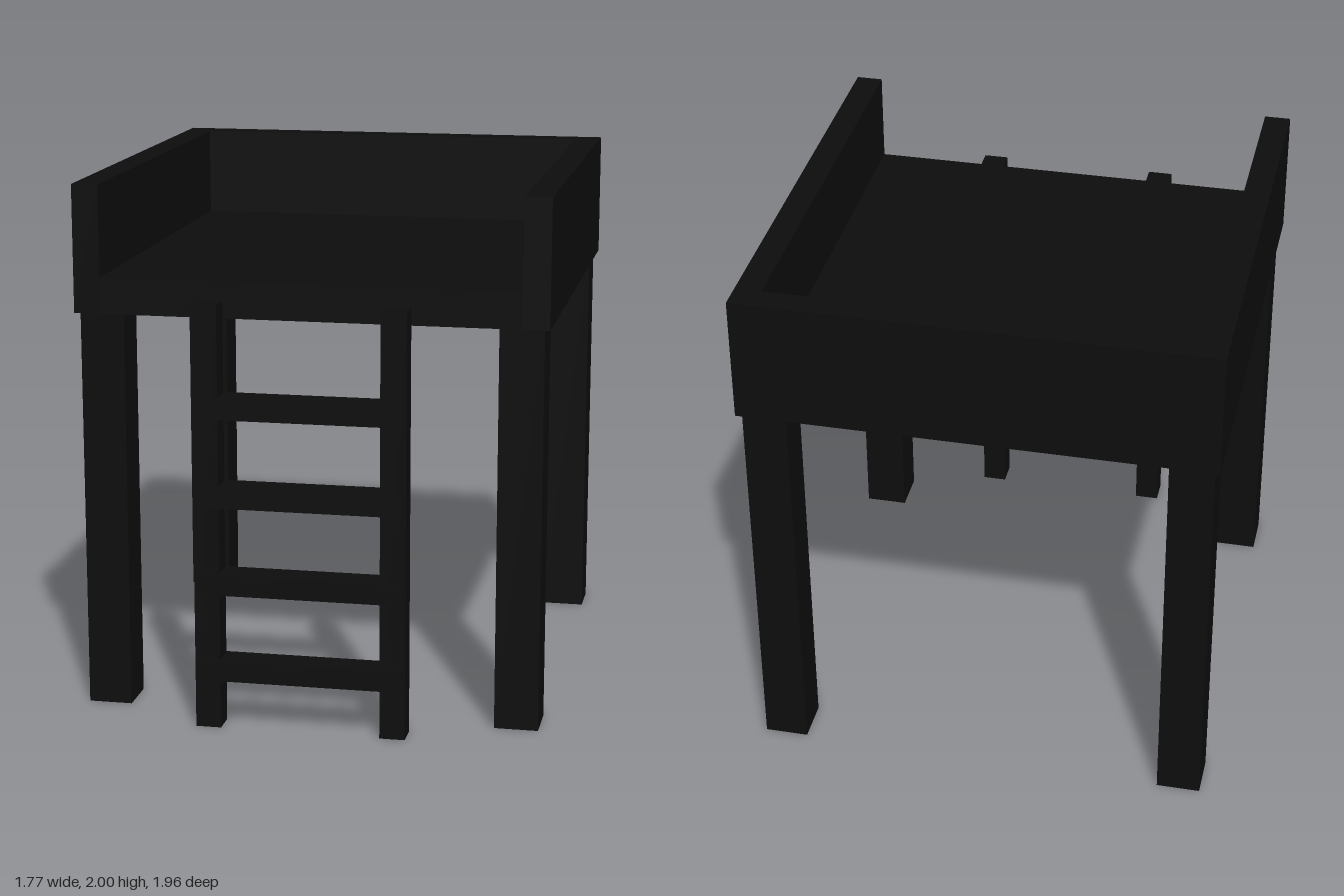
import * as THREE from 'three';

const material = new THREE.MeshStandardMaterial({ color: 0x0d0d0d });

// Box given by its lower and upper extent on each axis
function box(name, [x0, x1], [y0, y1], [z0, z1]) {
  const mesh = new THREE.Mesh(new THREE.BoxGeometry(x1 - x0, y1 - y0, z1 - z0), material);
  mesh.position.set((x0 + x1) / 2, (y0 + y1) / 2, (z0 + z1) / 2);
  mesh.name = name;
  return mesh;
}

// Span from a to b on the +x side (1) or mirrored to the -x side (-1)
const mirrored = (side, a, b) => (side > 0 ? [a, b] : [-b, -a]);

export function createModel() {
  const model = new THREE.Group();
  model.name = 'loftBed';

  // Platform, open towards the ladder
  const platform = new THREE.Group();
  platform.name = 'platform';
  platform.add(
    box('floor', [-0.785, 0.785], [1.52, 1.655], [-0.88, 0.795]),
    box('backWall', [-0.785, 0.785], [1.52, 2], [-0.98, -0.88])
  );

  // Ladder standing just in front of the platform
  const ladder = new THREE.Group();
  ladder.name = 'ladder';

  for (const side of [1, -1]) {
    const label = side > 0 ? 'left' : 'right';
    platform.add(box(label + 'Wall', mirrored(side, 0.785, 0.885), [1.52, 2], [-0.98, 0.795]));
    model.add(
      box(label + 'FrontLeg', mirrored(side, 0.7, 0.865), [0, 1.52], [0.61, 0.78]),
      box(label + 'BackLeg', mirrored(side, 0.7, 0.865), [0, 1.52], [-0.96, -0.795])
    );
    ladder.add(box(label + 'Rail', mirrored(side, 0.3, 0.395), [0, 1.6], [0.875, 0.97]));
  }

  // Evenly spaced rungs, slightly deeper than the rails
  for (let i = 0; i < 4; i++) {
    const y = 0.185 + i * 0.332;
    ladder.add(box('rung' + (i + 1), [-0.385, 0.385], [y, y + 0.08], [0.865, 0.98]));
  }

  model.add(platform, ladder);
  return model;
}
